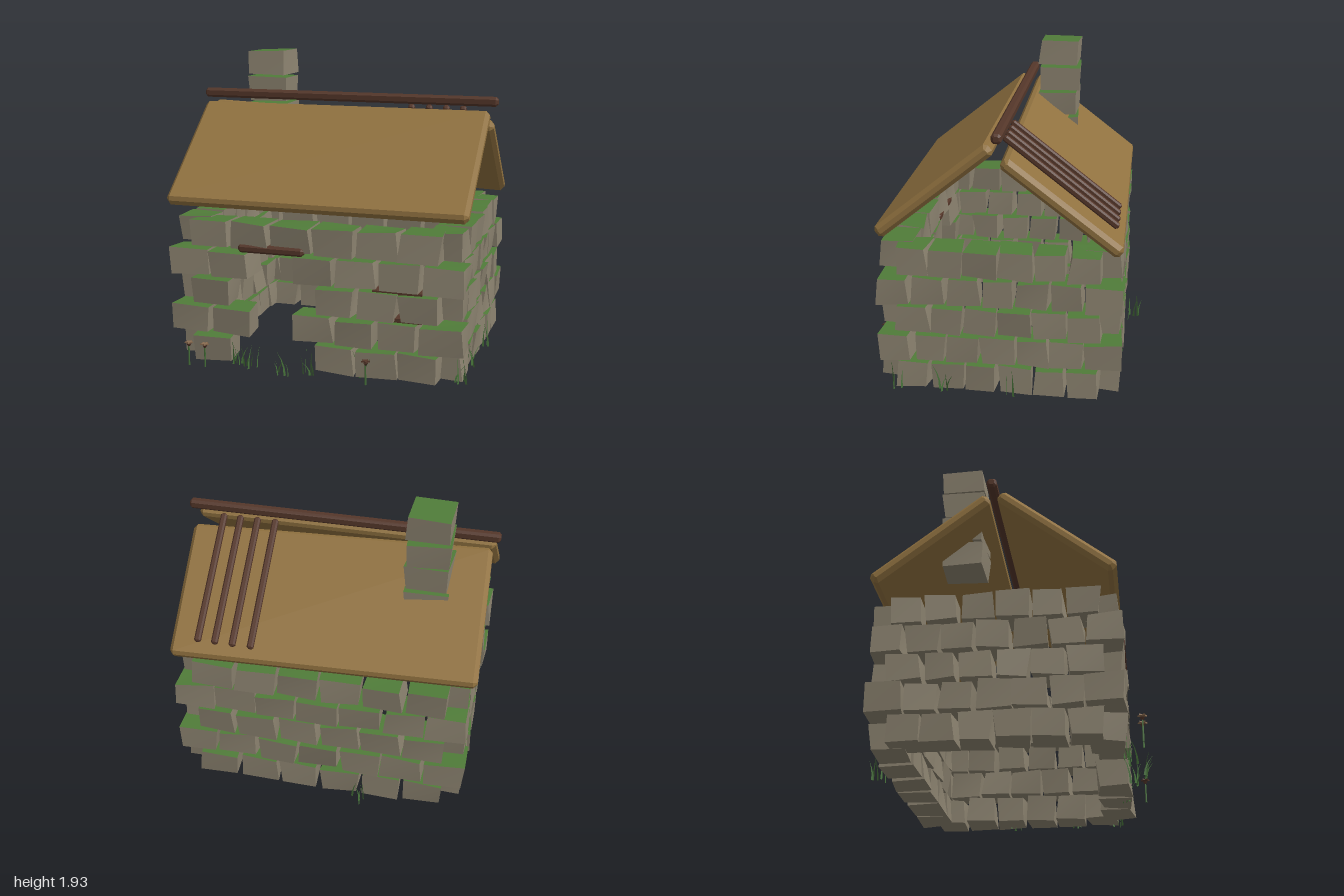
import * as THREE from 'three';

const mat = (name, color, side = THREE.FrontSide) => {
  const m = new THREE.MeshStandardMaterial({ color, side });
  m.name = name;
  return m;
};

// Small seeded generator; returns values in -1..1
let seed = 7;
const rnd = () => {
  seed = (seed * 16807) % 2147483647;
  return (seed / 2147483647) * 2 - 1;
};

// Uneven box: each corner is nudged, faces stay flat shaded
function stoneGeometry(w, h, d, j) {
  const g = new THREE.BoxGeometry(w, h, d);
  const p = g.attributes.position;
  const shift = Array.from({ length: 8 }, () => [rnd() * j, rnd() * j * 0.5, rnd() * j]);
  for (let i = 0; i < p.count; i++) {
    const k = (p.getX(i) > 0 ? 1 : 0) + (p.getY(i) > 0 ? 2 : 0) + (p.getZ(i) > 0 ? 4 : 0);
    const s = shift[k];
    p.setXYZ(i, p.getX(i) + s[0], p.getY(i) + s[1], p.getZ(i) + s[2]);
  }
  g.computeVertexNormals();
  return g;
}

// Beam along x with chamfered edges and ends
function beamGeometry(len, h, d, c) {
  const a = d / 2 - c, b = h / 2 - c, k = Math.min(a, b) * 0.4;
  const pts = [[a, -b + k], [a, b - k], [a - k, b], [-a + k, b], [-a, b - k], [-a, -b + k], [-a + k, -b], [a - k, -b]];
  const shape = new THREE.Shape(pts.map(([x, y]) => new THREE.Vector2(x, y)));
  const g = new THREE.ExtrudeGeometry(shape, {
    depth: len - 2 * c, bevelEnabled: true, bevelSize: c, bevelThickness: c, bevelSegments: 1,
  });
  g.translate(0, 0, -(len - 2 * c) / 2);
  g.rotateY(Math.PI / 2);
  return g;
}

// Tapered, bent blade of grass
function bladeGeometry(h, w, lean) {
  const pos = [], idx = [], n = 3;
  for (let i = 0; i <= n; i++) {
    const t = i / n, half = (w / 2) * (1 - t * 0.95), x = lean * t * t;
    pos.push(x - half, h * t, 0, x + half, h * t, 0);
    if (i < n) {
      const q = i * 2;
      idx.push(q, q + 1, q + 2, q + 1, q + 3, q + 2);
    }
  }
  const g = new THREE.BufferGeometry();
  g.setAttribute('position', new THREE.Float32BufferAttribute(pos, 3));
  g.setIndex(idx);
  g.computeVertexNormals();
  return g;
}

export function createModel() {
  seed = 7;
  const stone = mat('stone', 0x8c8370);
  const moss = mat('moss', 0x507c39);
  const thatch = mat('roof straw', 0x917240);
  const wood = mat('dark wood', 0x55372a);
  const grass = mat('grass', 0x47733a, THREE.DoubleSide);
  const petal = mat('dry petal', 0x8a6c50, THREE.DoubleSide);
  const mossy = [stone, stone, moss, stone, stone, stone];

  const model = new THREE.Group();
  model.name = 'stoneCottage';
  const group = (name, parent = model) => {
    const g = new THREE.Group();
    g.name = name;
    parent.add(g);
    return g;
  };
  const add = (parent, name, geo, material, x, y, z) => {
    const m = new THREE.Mesh(geo, material);
    m.name = name;
    m.position.set(x, y, z);
    parent.add(m);
    return m;
  };
  const block = (parent, name, x, y, z, w, h, d, j = 0.016) => {
    const m = add(parent, name, stoneGeometry(w, h, d, j), mossy, x, y, z);
    m.rotation.set(rnd() * 0.03, rnd() * 0.05, rnd() * 0.02);
  };

  // Walls: five courses, alternate ones shifted by half a block
  const walls = { front: group('frontWall'), back: group('backWall'), left: group('leftWall'), right: group('rightWall') };
  for (let row = 0; row < 5; row++) {
    const y = 0.093 + row * 0.187;
    const even = row % 2 === 0;
    const nx = even ? 6 : 7, nz = even ? 6 : 5;
    for (let i = 0; i < nx; i++) {
      const x = (i - (nx - 1) / 2) * 0.272;
      const inDoor = row < 4 && Math.abs(x + 0.27) < 0.2;
      if (!inDoor) block(walls.front, 'frontStone', x, y, 0.625, 0.245, 0.165, 0.2);
      block(walls.back, 'backStone', x, y, -0.645, 0.245, 0.165, 0.2);
    }
    for (let i = 0; i < nz; i++) {
      const z = -0.01 + (i - (nz - 1) / 2) * 0.21;
      block(walls.left, 'leftStone', -0.82, y, z, 0.2, 0.165, 0.19);
      block(walls.right, 'rightStone', 0.82, y, z, 0.2, 0.165, 0.19);
    }
  }

  // Door lintel and thin boards bedded in the front wall
  add(model, 'doorLintel', beamGeometry(0.43, 0.05, 0.22, 0.015), wood, -0.265, 0.767, 0.63);
  add(model, 'lowerBoard', new THREE.BoxGeometry(0.31, 0.024, 0.16), wood, 0.535, 0.384, 0.62);
  add(model, 'upperBoard', new THREE.BoxGeometry(0.31, 0.024, 0.16), wood, 0.535, 0.55, 0.62);

  // Roof: the back slab sags towards one end
  const roof = group('roof');
  add(roof, 'frontRoof', beamGeometry(1.93, 0.08, 0.88, 0.025), thatch, -0.005, 1.3, 0.365).rotation.x = 0.68;
  const backRoof = add(roof, 'backRoof', beamGeometry(1.93, 0.08, 0.88, 0.025), thatch, -0.005, 1.265, -0.395);
  backRoof.rotation.set(-0.66, 0, -0.038, 'ZXY');
  add(roof, 'ridgeBeam', beamGeometry(2, 0.06, 0.06, 0.014), wood, 0, 1.645, -0.02);
  for (const x of [0.43, 0.547, 0.66, 0.77]) {
    const batten = add(roof, 'roofBatten', beamGeometry(0.86, 0.04, 0.04, 0.01), wood, x, 1.335, -0.375);
    batten.rotation.set(0, Math.PI / 2, 0.66, 'XYZ');
    batten.rotation.set(-0.66, Math.PI / 2, 0, 'XYZ');
  }

  // Chimney
  const chimney = group('chimney');
  for (let i = 0; i < 4; i++) {
    block(chimney, 'chimneyStone', -0.597, 1.318 + i * 0.176, -0.24, 0.26, 0.16, 0.26, 0.012);
  }

  // Grass tufts around the base
  const tufts = group('grassTufts');
  const spots = [[-0.5, 0.7], [-0.4, 0.76], [-0.16, 0.8], [-0.02, 0.74], [0.33, 0.7],
    [0.94, 0.32], [0.93, -0.1], [0.92, 0.62], [-0.27, -0.81]];
  for (const [x, z] of spots) {
    for (let i = 0; i < 5; i++) {
      const geo = bladeGeometry(0.14 + rnd() * 0.05, 0.016, rnd() * 0.06);
      const b = add(tufts, 'grassBlade', geo, grass, x + rnd() * 0.045, 0, z + rnd() * 0.035);
      b.rotation.y = rnd() * Math.PI;
    }
  }

  // Flowers with five-pointed heads
  const star = new THREE.Shape();
  for (let i = 0; i < 10; i++) {
    const r = i % 2 ? 0.015 : 0.029, a = (i / 10) * Math.PI * 2;
    star[i ? 'lineTo' : 'moveTo'](r * Math.cos(a), r * Math.sin(a));
  }
  for (const [x, m] of [[-0.79, petal], [-0.68, petal], [0.375, wood]]) {
    const flower = group('flower');
    flower.position.set(x, 0, 0.82);
    add(flower, 'stem', new THREE.CylinderGeometry(0.005, 0.006, 0.13, 5), grass, 0, 0.065, 0);
    add(flower, 'bud', new THREE.ConeGeometry(0.016, 0.024, 5).rotateX(Math.PI), wood, 0, 0.13, 0);
    const head = new THREE.ExtrudeGeometry(star, { depth: 0.008, bevelEnabled: false });
    add(flower, 'flowerHead', head, m, 0, 0.148, 0).rotation.x = -Math.PI / 2;
  }
  return model;
}
